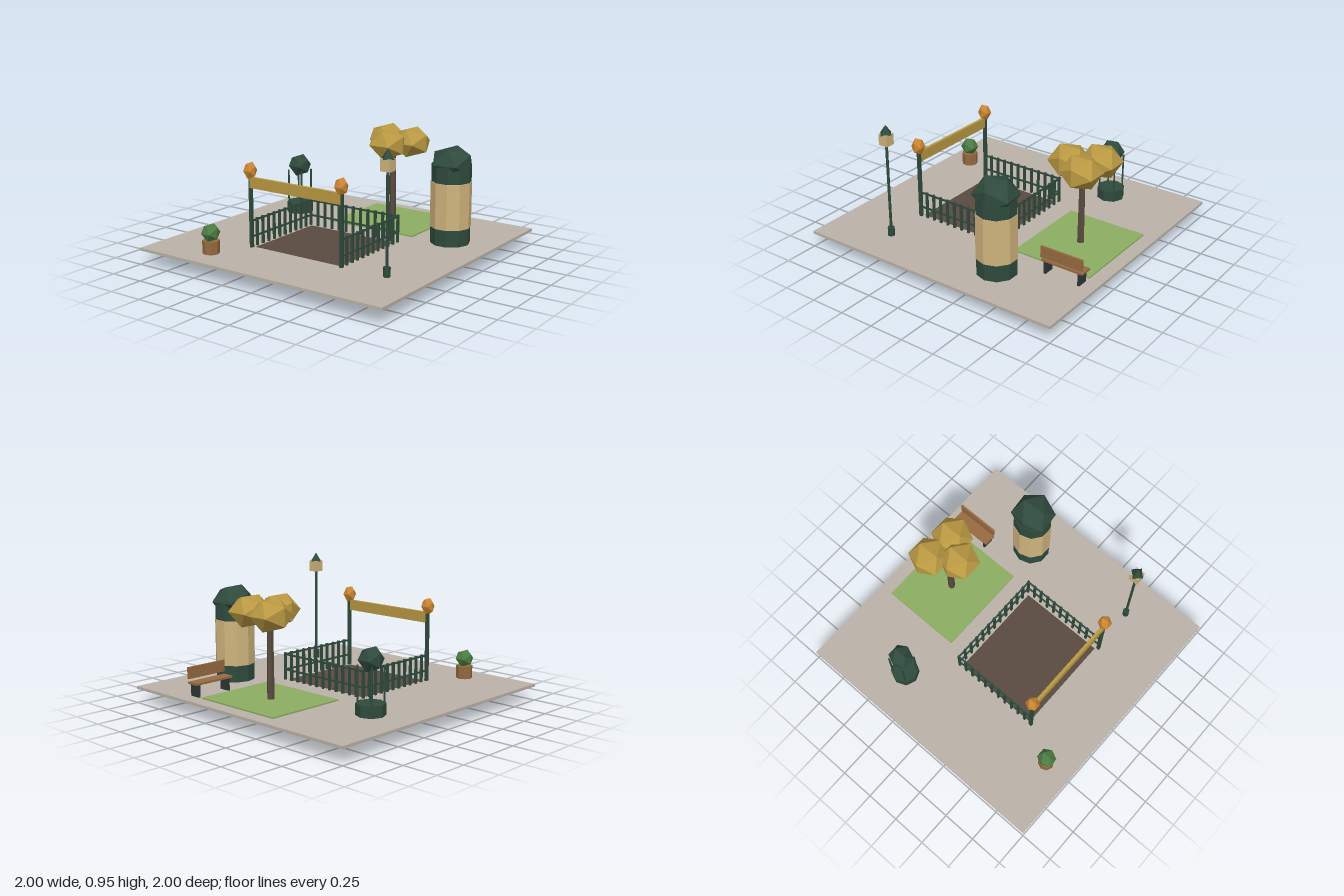
import * as THREE from 'three';

const mat = (name, color) => {
  const m = new THREE.MeshStandardMaterial({ color, flatShading: true });
  m.name = name;
  return m;
};

export function createModel() {
  const paving = mat('paving', 0xbbb2a7);
  const darkGreen = mat('dark green', 0x2f4a3d);
  const cream = mat('cream', 0xcfb37c);
  const grass = mat('grass', 0x8cad61);
  const gold = mat('gold', 0xb99842);
  const brown = mat('dark brown', 0x594a40);
  const wood = mat('wood', 0x966a40);
  const orange = mat('orange', 0xcb8632);
  const leaf = mat('leaf green', 0x4c7c42);
  const iron = mat('iron', 0x2e3436);

  const model = new THREE.Group();
  model.name = 'squareWithSubwayEntrance';

  const group = (name, x = 0, z = 0) => {
    const g = new THREE.Group();
    g.name = name;
    g.position.set(x, 0, z);
    model.add(g);
    return g;
  };
  const add = (parent, name, geo, material, x, y, z) => {
    const m = new THREE.Mesh(geo, material);
    m.name = name;
    m.position.set(x, y, z);
    parent.add(m);
    return m;
  };
  // Box given by its min and max on each axis
  const box = (parent, name, material, x0, x1, y0, y1, z0, z1) =>
    add(parent, name, new THREE.BoxGeometry(x1 - x0, y1 - y0, z1 - z0), material,
      (x0 + x1) / 2, (y0 + y1) / 2, (z0 + z1) / 2);
  // Upright cylinder from y0 to y1
  const post = (parent, name, material, r, y0, y1, x = 0, z = 0, sides = 6, rTop = r) =>
    add(parent, name, new THREE.CylinderGeometry(rTop, r, y1 - y0, sides), material, x, (y0 + y1) / 2, z);
  // Faceted ball, squashed or stretched in height
  const ball = (parent, name, material, r, sy, x, y, z) => {
    const geo = new THREE.IcosahedronGeometry(r, 0).rotateY(Math.PI / 2).scale(1, sy, 1);
    return add(parent, name, geo, material, x, y, z);
  };

  const G = 0.12; // ground level

  // Ground and lawn
  const ground = group('ground');
  box(ground, 'pavement', paving, -1, 1, 0.1, G, -1, 1);
  box(ground, 'lawn', grass, -0.3, 0.4, G, 0.13, -0.9, -0.3);

  // Stairwell sunk through the pavement
  const entrance = group('entrance');
  box(entrance, 'stairwell', brown, -0.36, 0.36, 0.003, 0.122, -0.12, 0.52);
  box(entrance, 'stairwellOpening', iron, -0.33, 0.33, 0, 0.004, 0.33, 0.49);

  // Railings on three sides
  const W = 0.38, Z0 = -0.14, Z1 = 0.54;
  const picket = (x, z) => box(entrance, 'picket', darkGreen, x - 0.008, x + 0.008, G, 0.32, z - 0.008, z + 0.008);
  for (let i = 0; i <= 12; i++) picket(-W + (2 * W * i) / 12, Z0);
  for (const s of [-1, 1])
    for (let i = 1; i < 11; i++) picket(s * W, Z0 + ((Z1 - Z0) * i) / 11);
  for (const y of [0.195, 0.308]) {
    box(entrance, 'backRail', darkGreen, -W, W, y - 0.006, y + 0.006, Z0 - 0.005, Z0 + 0.005);
    for (const s of [-1, 1])
      box(entrance, 'sideRail', darkGreen, s * W - 0.005, s * W + 0.005, y - 0.006, y + 0.006, Z0, Z1);
  }

  // Entrance arch with sign board and globes
  for (const s of [-1, 1]) {
    box(entrance, 'archPost', darkGreen, s * W - 0.01, s * W + 0.01, G, 0.63, Z1 - 0.014, Z1 + 0.01);
    ball(entrance, 'archGlobe', orange, 0.05, 1.3, s * W, 0.665, Z1);
  }
  box(entrance, 'signBoard', gold, -W, W, 0.545, 0.622, Z1 - 0.01, Z1 + 0.012);

  // Poster column
  const column = group('posterColumn', 0.675, -0.36);
  const ring = (name, m, r, y0, y1) => {
    post(column, name, m, r, y0, y1, 0, 0, 10).rotation.y = Math.PI / 2;
  };
  ring('columnBase', darkGreen, 0.14, G, 0.24);
  ring('posterBand', cream, 0.144, 0.24, 0.565);
  ring('columnCap', darkGreen, 0.14, 0.565, 0.69);
  ball(column, 'columnDome', darkGreen, 0.16, 0.8, 0.003, 0.69, 0).rotation.y = 0.1;

  // Autumn tree
  const tree = group('tree');
  post(tree, 'trunk', brown, 0.026, G, 0.68, 0.04, -0.6, 6, 0.022);
  for (const [x, z] of [[-0.06, -0.68], [0.16, -0.665], [0.055, -0.505]])
    ball(tree, 'foliage', gold, 0.15, 0.8, x, 0.724, z);

  // Street lamp
  const lamp = group('streetLamp', 0.72, 0.52);
  post(lamp, 'lampBase', darkGreen, 0.025, G, 0.185);
  post(lamp, 'lampPole', darkGreen, 0.01, 0.185, 0.82);
  box(lamp, 'lantern', cream, -0.035, 0.035, 0.81, 0.89, -0.035, 0.035);
  add(lamp, 'lanternRoof', new THREE.ConeGeometry(0.05, 0.065, 4), darkGreen, 0, 0.92, 0);

  // Drinking fountain
  const fountain = group('fountain', -0.682, -0.4);
  post(fountain, 'fountainBasin', darkGreen, 0.1, G, 0.2, 0, 0, 8);
  for (const x of [-0.061, 0.061])
    for (const z of [-0.061, 0.061])
      post(fountain, 'fountainPost', darkGreen, 0.007, 0.2, 0.45, x, z);
  ball(fountain, 'fountainDome', darkGreen, 0.09, 1, 0, 0.485, 0);

  // Potted shrub
  const planter = group('planter', -0.52, 0.8);
  post(planter, 'pot', wood, 0.058, G, 0.212, 0, 0, 8, 0.06);
  ball(planter, 'shrub', leaf, 0.068, 1, 0, 0.264, 0);

  // Bench facing the lawn
  const bench = group('bench');
  box(bench, 'seat', wood, 0.43, 0.52, 0.208, 0.222, -0.92, -0.6);
  box(bench, 'backrest', wood, 0.513, 0.527, 0.24, 0.322, -0.92, -0.6);
  for (const z of [-0.89, -0.63])
    box(bench, 'benchLeg', iron, 0.437, 0.518, G, 0.208, z - 0.008, z + 0.008);

  return model;
}
